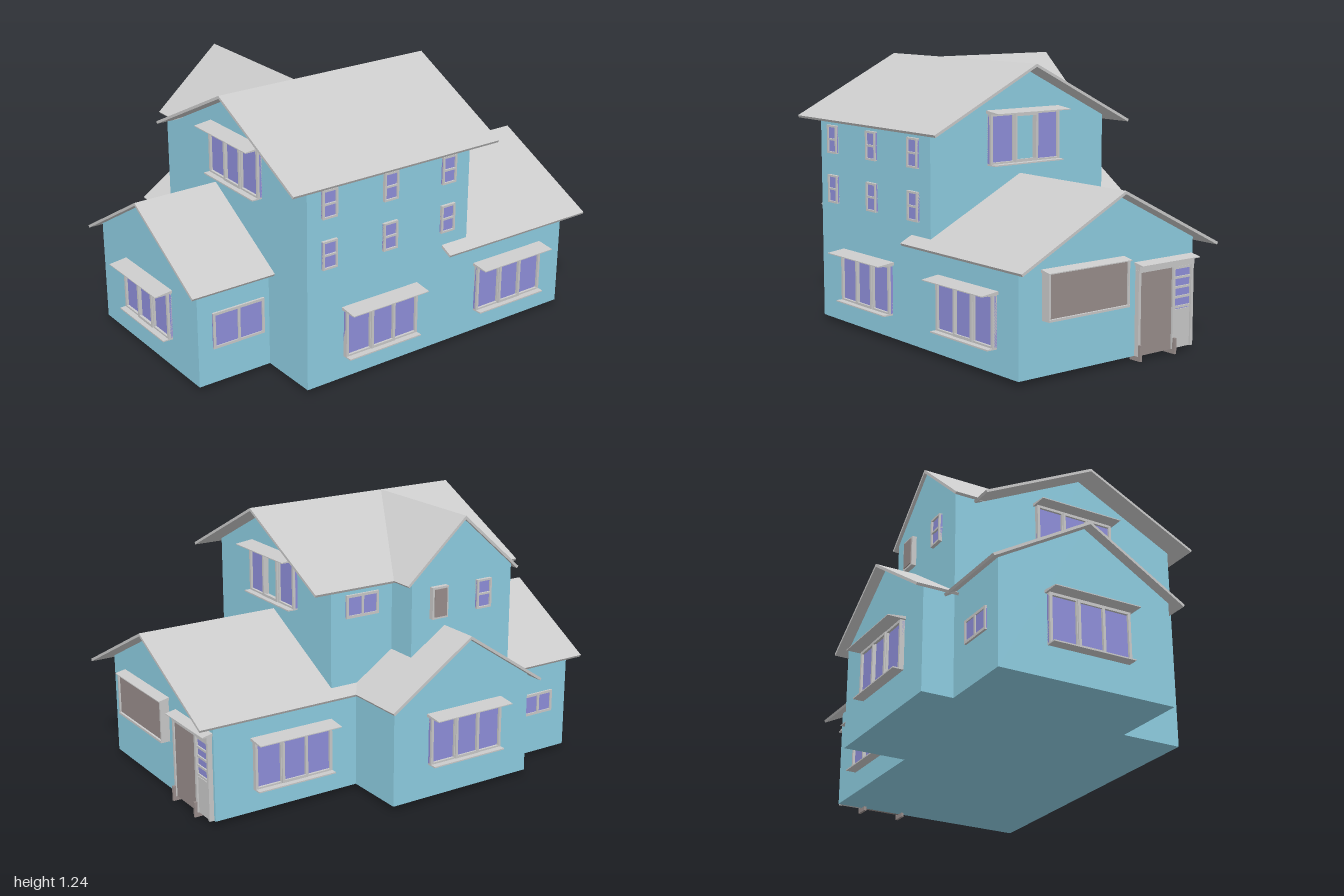
import * as THREE from 'three';

const mat = (color) => new THREE.MeshStandardMaterial({ color, flatShading: true });
const GREY = mat(0xcccccc);
const WALL = mat(0x8fcfe3);
const GLASS = mat(0x9090dc);
const BROWN = mat(0x9a8f8d);
const BASE = 0.02;
const T = 0.012; // roof thickness

function add(parent, name, geometry, material) {
  const mesh = new THREE.Mesh(geometry, material);
  mesh.name = name;
  parent.add(mesh);
  return mesh;
}

function box(parent, name, material, w, h, d, x, y, z) {
  const mesh = add(parent, name, new THREE.BoxGeometry(w, h, d), material);
  mesh.position.set(x, y, z);
  return mesh;
}

// Extrude a cross-section from a to b along the z or x axis, centred on c across it
function extrude(points, axis, c, [a, b]) {
  const shape = new THREE.Shape(points.map(([x, y]) => new THREE.Vector2(x, y)));
  const geo = new THREE.ExtrudeGeometry(shape, { depth: b - a, bevelEnabled: false });
  geo.translate(0, 0, a);
  if (axis === 'x') geo.rotateY(Math.PI / 2).translate(0, 0, c);
  else geo.translate(c, 0, 0);
  return geo;
}

// A gabled block: five-sided walls below a folded roof slab
function gabledBlock(house, { name, axis, c, ridge, eave, roofHalf, wallHalf, walls, roof, cut }) {
  const g = new THREE.Group();
  g.name = name;
  const slope = (ridge - eave) / roofHalf;
  const cos = 1 / Math.hypot(1, slope);
  const drop = T / cos;
  const under = ridge - drop + 0.002;
  const shoulder = under - slope * wallHalf;
  add(g, name + 'Walls', extrude([
    [-wallHalf, BASE], [wallHalf, BASE], [wallHalf, shoulder], [0, under], [-wallHalf, shoulder],
  ], axis, c, walls), WALL);
  const inX = roofHalf - T * slope * cos, inY = eave - T * cos;
  const roofGeo = extrude([
    [-roofHalf, eave], [-inX, inY], [0, ridge - drop], [inX, inY], [roofHalf, eave], [0, ridge],
  ], axis, c, roof);
  if (cut) cut(roofGeo);
  add(g, name + 'Roof', roofGeo, GREY);
  house.add(g);
}

// Put a wall fitting on a wall, facing one of the four sides
const TURN = { front: 0, left: Math.PI / 2, back: Math.PI, right: -Math.PI / 2 };
function place(house, fitting, side, x, y, z) {
  fitting.position.set(x, y, z);
  fitting.rotation.y = TURN[side];
  house.add(fitting);
}

// Window facing +z with its wall at z = 0
function windowUnit(name, w, h, { cols = 1, rows = 1, depth = 0.02, bar = 0.012, awning = false, blank = [] } = {}) {
  const g = new THREE.Group();
  g.name = name;
  const pw = w / cols;
  for (let i = 0; i < cols; i++) {
    if (blank.includes(i)) continue;
    box(g, 'glass', GLASS, pw, h - bar, depth * 0.5, -w / 2 + pw * (i + 0.5), 0, depth * 0.25);
  }
  for (let i = 0; i <= cols; i++) {
    const x = -w / 2 + bar / 2 + ((w - bar) * i) / cols;
    box(g, 'upright', GREY, bar, h, depth, x, 0, depth / 2);
  }
  for (let i = 0; i <= rows; i++) {
    const y = -h / 2 + bar / 2 + ((h - bar) * i) / rows;
    box(g, 'rail', GREY, w, bar, depth, 0, y, depth / 2);
  }
  if (awning) {
    // projecting middle sash, sill and tapering hood
    for (const s of [-1, 1]) {
      box(g, 'sashStile', GREY, bar, h - bar, 0.008, s * (pw / 2 - bar / 2), 0, depth + 0.003);
      box(g, 'sashRail', GREY, pw, bar, 0.008, 0, s * (h / 2 - bar), depth + 0.003);
    }
    box(g, 'sill', GREY, w, 0.006, 0.05, 0, -h / 2 + 0.001, 0.025);
    add(g, 'awning', hood(w + 0.02, 0.085, h / 2), GREY);
  }
  return g;
}

// Thin hood that falls away from the wall
function hood(w, depth, y) {
  return extrude([[0, y], [-depth, y], [-depth, y + 0.004], [0, y + 0.014]], 'x', 0, [-w / 2, w / 2]);
}

// Entrance with door leaf, sidelight and hood
function entrance() {
  const g = new THREE.Group();
  g.name = 'entrance';
  box(g, 'doorLeaf', BROWN, 0.19, 0.36, 0.016, -0.06, 0.2, 0.008);
  for (const x of [-0.158, 0.045, 0.155]) box(g, 'doorPost', GREY, 0.014, 0.37, 0.022, x, 0.205, 0.011);
  box(g, 'lintel', GREY, 0.327, 0.03, 0.025, 0, 0.395, 0.0125);
  box(g, 'sidelightPanel', GREY, 0.1, 0.17, 0.014, 0.1, 0.105, 0.007);
  box(g, 'sidelightGlass', GLASS, 0.1, 0.19, 0.01, 0.1, 0.285, 0.005);
  for (let i = 0; i < 5; i++) box(g, 'sidelightBar', GREY, 0.1, 0.01, 0.016, 0.1, 0.2 + i * 0.043, 0.008);
  for (const x of [-0.158, 0.045]) box(g, 'doorFoot', BROWN, 0.012, 0.07, 0.065, x, 0.035, 0.0025);
  add(g, 'doorHood', hood(0.34, 0.05, 0.41), GREY);
  return g;
}

export function createModel() {
  const house = new THREE.Group();
  house.name = 'house';

  // Two-storey core and its cross gable, cut along the valleys
  const high = { ridge: 1.235, eave: 0.963 }, low = { ridge: 0.75, eave: 0.477 };
  gabledBlock(house, { name: 'tower', axis: 'z', c: 0.145, ...high, roofHalf: 0.545, wallHalf: 0.485,
    walls: [-0.32, 0.55], roof: [-0.435, 0.657] });
  gabledBlock(house, { name: 'crossGable', axis: 'x', c: 0.275, ...high, roofHalf: 0.307, wallHalf: 0.275,
    walls: [-0.49, -0.33], roof: [-0.505, 0.145],
    cut: (geo) => {
      const p = geo.attributes.position;
      for (let i = 0; i < p.count; i++) {
        if (p.getX(i) > 0) p.setX(i, 0.145 - 0.545 * Math.min(1, Math.abs(p.getZ(i) - 0.275) / 0.307));
      }
    } });

  // Single-storey wings
  gabledBlock(house, { name: 'frontWing', axis: 'z', c: -0.075, ...low, roofHalf: 0.465, wallHalf: 0.415,
    walls: [0.5, 0.912], roof: [0.545, 0.96] });
  gabledBlock(house, { name: 'backWing', axis: 'z', c: 0.145, ...low, roofHalf: 0.545, wallHalf: 0.485,
    walls: [-0.908, -0.3], roof: [-1, -0.178] });
  gabledBlock(house, { name: 'sideWing', axis: 'x', c: 0.18, ...low, roofHalf: 0.41, wallHalf: 0.37,
    walls: [-0.635, -0.33], roof: [-0.685, -0.32] });

  // Wide three-light windows with hoods: side, x, centre y, z
  const wide = [
    ['front', -0.07, 0.275, 0.912], ['front', 0.105, 0.91, 0.55], ['back', 0.13, 0.91, -0.32],
    ['left', 0.63, 0.238, 0.165], ['left', 0.63, 0.238, -0.575],
    ['right', -0.34, 0.238, -0.525], ['right', -0.635, 0.29, 0.19],
  ];
  for (const [side, x, y, z] of wide) {
    place(house, windowUnit('wideWindow', 0.39, 0.225,
      { cols: 3, depth: 0.022, awning: true, blank: side === 'back' ? [1] : [] }), side, x, y, z);
  }

  // Small two-pane windows on the tall side
  for (const z of [0.44, 0.12, -0.2]) {
    for (const y of [0.865, 0.635]) {
      place(house, windowUnit('sashWindow', 0.076, 0.13, { rows: 2, depth: 0.014, bar: 0.009 }), 'left', 0.63, y, z);
    }
  }

  // Cross gable: one sash window and one shuttered opening
  place(house, windowUnit('sashWindow', 0.08, 0.135, { rows: 2, depth: 0.016, bar: 0.009 }), 'right', -0.49, 0.865, 0.39);
  const shutter = new THREE.Group();
  shutter.name = 'shutteredWindow';
  box(shutter, 'shutterFrame', GREY, 0.085, 0.145, 0.022, 0, 0, 0.011);
  box(shutter, 'shutterPanel', BROWN, 0.066, 0.126, 0.01, 0, 0, 0.021);
  place(house, shutter, 'right', -0.49, 0.865, 0.14);

  // Two-light windows
  place(house, windowUnit('twoLightWindow', 0.26, 0.17, { cols: 2, depth: 0.01 }), 'left', 0.34, 0.272, 0.71);
  place(house, windowUnit('twoLightWindow', 0.17, 0.105, { cols: 2, depth: 0.01 }), 'right', -0.49, 0.265, 0.74);
  place(house, windowUnit('twoLightWindow', 0.17, 0.105, { cols: 2, depth: 0.01 }), 'right', -0.34, 0.865, -0.16);

  // Shuttered bay on the back wing
  const bay = new THREE.Group();
  bay.name = 'shutteredBay';
  box(bay, 'bayPanel', BROWN, 0.43, 0.19, 0.035, 0, 0, 0.0175);
  for (const s of [-1, 1]) box(bay, 'bayEdge', GREY, 0.01, 0.19, 0.042, s * 0.215, 0, 0.021);
  box(bay, 'baySill', GREY, 0.44, 0.01, 0.045, 0, -0.095, 0.0225);
  add(bay, 'bayHood', hood(0.45, 0.05, 0.095), GREY);
  place(house, bay, 'back', 0.29, 0.35, -0.908);

  place(house, entrance(), 'back', -0.165, 0, -0.908);
  return house;
}
